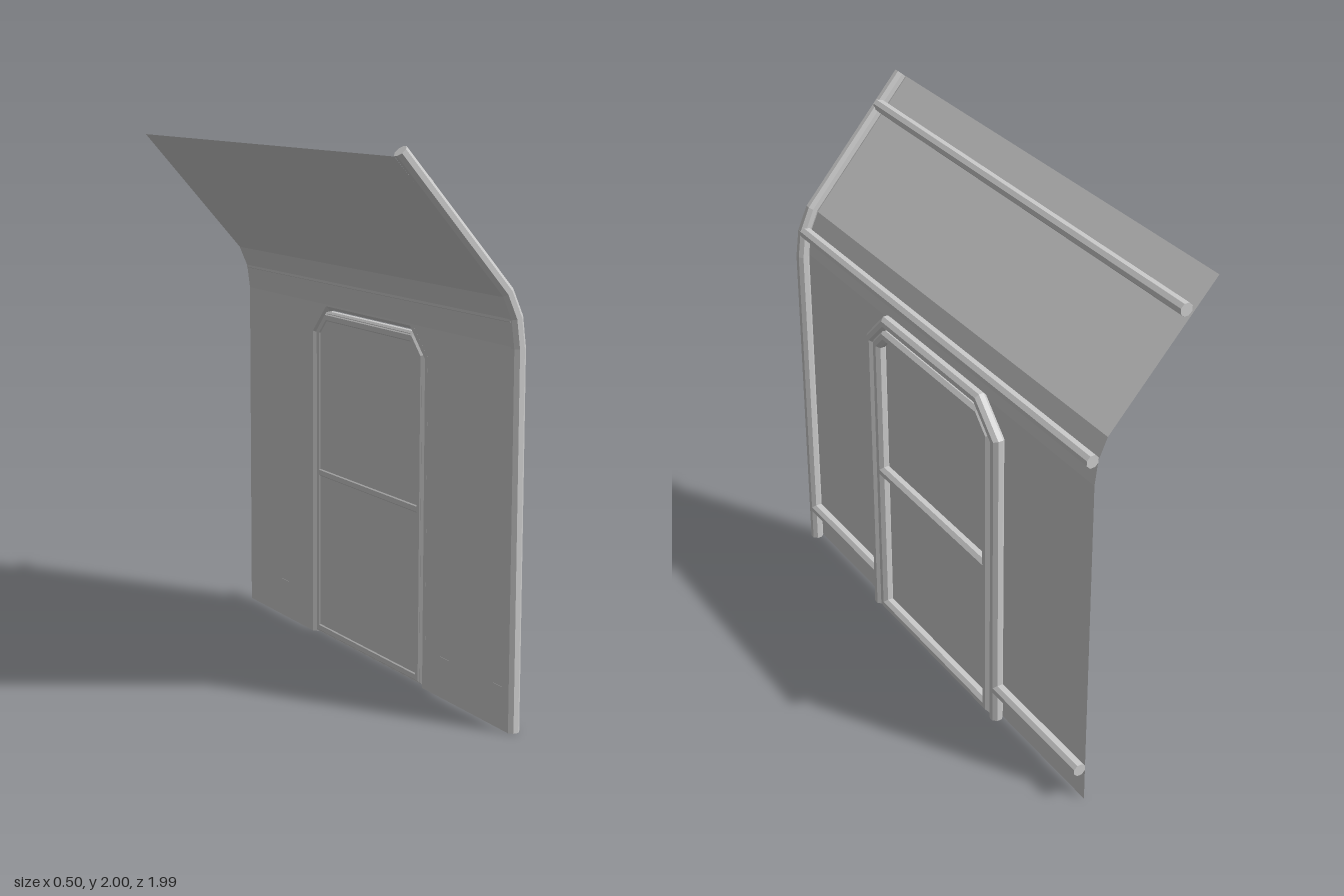
import * as THREE from 'three';

const grey = new THREE.MeshStandardMaterial({ color: 0xcccccc, flatShading: true, side: THREE.DoubleSide });
const V = (x, y, z) => new THREE.Vector3(x, y, z);
const SIDES = 8, R = 0.025;
const Z_FRONT = 0.973, Z_BACK = -0.99, DOOR_Z = -0.01;
const TUBE_X = 0.226, SHEET_X = 0.203;

// Octagonal pipe swept along a flat path with mitred corners; n is the normal of the path's plane
function pipe(name, pts, n, closed = false) {
  const pos = [], idx = [], N = pts.length;
  pts.forEach((p, i) => {
    const prev = pts[(i + N - 1) % N], next = pts[(i + 1) % N];
    const tIn = p.clone().sub(prev).normalize(), tOut = next.clone().sub(p).normalize();
    if (!closed && i === 0) tIn.copy(tOut);
    if (!closed && i === N - 1) tOut.copy(tIn);
    const t = tIn.clone().add(tOut).normalize();
    const side = n.clone().cross(t).divideScalar(t.dot(tIn));
    for (let j = 0; j < SIDES; j++) {
      const a = (j + 0.5) / SIDES * Math.PI * 2;
      const q = p.clone().addScaledVector(side, R * Math.cos(a)).addScaledVector(n, R * Math.sin(a));
      pos.push(q.x, q.y, q.z);
    }
  });
  for (let i = 0; i < (closed ? N : N - 1); i++) {
    const k = (i + 1) % N;
    for (let j = 0; j < SIDES; j++) {
      const m = (j + 1) % SIDES;
      const a = i * SIDES + j, b = i * SIDES + m, c = k * SIDES + m, d = k * SIDES + j;
      idx.push(a, b, c, a, c, d);
    }
  }
  if (!closed) {
    const e = (N - 1) * SIDES;
    for (let j = 1; j < SIDES - 1; j++) idx.push(0, j + 1, j, e, e + j, e + j + 1);
  }
  return mesh(name, pos, idx);
}

function mesh(name, pos, idx) {
  const g = new THREE.BufferGeometry();
  g.setAttribute('position', new THREE.Float32BufferAttribute(pos, 3));
  g.setIndex(idx);
  g.computeVertexNormals();
  const m = new THREE.Mesh(g, grey);
  m.name = name;
  return m;
}

// Straight pipe running along z
const rail = (name, x, y, z0, z1) => pipe(name, [V(x, y, z0), V(x, y, z1)], V(0, 1, 0));

// Doorway outline with chamfered top corners, as [z, y] pairs
function arch(half, bottom, top, leg) {
  return [[-half, bottom], [-half, top - leg], [-half + leg, top],
    [half - leg, top], [half, top - leg], [half, bottom]].map(([z, y]) => [z + DOOR_Z, y]);
}

// Thin upright sheet from a [z, y] outline
function sheet(name, outline, x) {
  const g = new THREE.ShapeGeometry(new THREE.Shape(outline.map(([z, y]) => new THREE.Vector2(z, y))));
  g.rotateY(-Math.PI / 2);
  g.translate(x, 0, 0);
  const m = new THREE.Mesh(g, grey);
  m.name = name;
  return m;
}

export function createModel() {
  const group = new THREE.Group();

  // Wall sheet with the doorway cut out
  group.add(sheet('wallSheet', [[Z_BACK, 0], ...arch(0.425, 0, 1.325, 0.11),
    [Z_FRONT, 0], [Z_FRONT, 1.33], [Z_BACK, 1.33]], SHEET_X));

  // Bent sheet continuing up into the sloping roof
  const bend = [[SHEET_X, 1.33], [0.191, 1.422], [0.157, 1.5], [-0.255, 1.968]];
  const pos = [], idx = [];
  bend.forEach(([x, y], i) => {
    pos.push(x, y, Z_FRONT, x, y, Z_BACK);
    if (i) idx.push(2 * i - 2, 2 * i - 1, 2 * i + 1, 2 * i - 2, 2 * i + 1, 2 * i);
  });
  group.add(mesh('roofSheet', pos, idx));

  // Bent post at the front end
  const post = [[TUBE_X, 0], [TUBE_X, 1.325], [0.213, 1.428], [0.175, 1.515], [-0.233, 1.985]];
  group.add(pipe('endPost', post.map(([x, y]) => V(x, y, Z_FRONT)), V(0, 0, 1)));

  // Lengthwise rails
  group.add(rail('roofRail', -0.132, 1.877, Z_FRONT, Z_BACK));
  group.add(rail('eaveRail', 0.213, 1.425, Z_FRONT, Z_BACK));
  group.add(rail('lowerRailFront', TUBE_X, 0.143, Z_FRONT, DOOR_Z + 0.434));
  group.add(rail('lowerRailBack', TUBE_X, 0.143, DOOR_Z - 0.434, Z_BACK));

  // Fixed frame around the doorway
  const toX = (x) => ([z, y]) => V(x, y, z);
  group.add(pipe('doorway', arch(0.434, 0, 1.333, 0.113).map(toX(TUBE_X)), V(1, 0, 0)));

  // Door: pipe frame, middle rail and panel
  const door = new THREE.Group();
  door.name = 'door';
  const outline = arch(0.383, 0.027, 1.279, 0.06);
  door.add(pipe('doorFrame', outline.map(toX(TUBE_X)), V(1, 0, 0), true));
  door.add(rail('doorMiddleRail', TUBE_X, 0.659, DOOR_Z + 0.383, DOOR_Z - 0.383));
  door.add(sheet('doorPanel', arch(0.398, 0.01, 1.295, 0.085), 0.207));
  group.add(door);

  return group;
}
